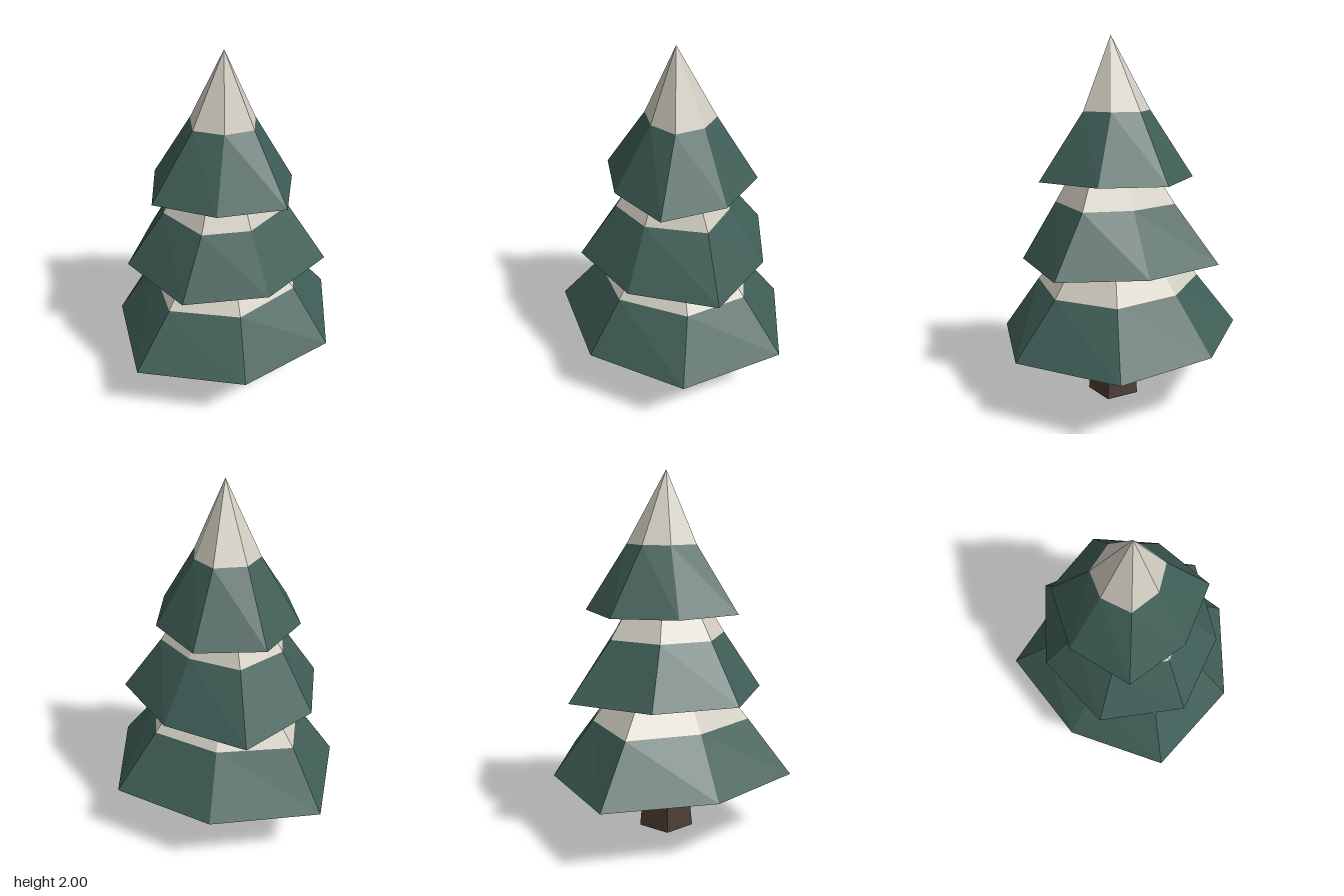
import * as THREE from 'three';

const material = (name, color) => {
  const m = new THREE.MeshStandardMaterial({ color });
  m.name = name;
  return m;
};

// Puts a flat outline of [x, z] corners at height y
const ring = (corners, y) => corners.map(([x, z]) => new THREE.Vector3(x, y, z));

// Shrinks an outline toward a centre
const shrink = (corners, s, cx, cz) =>
  corners.map(([x, z]) => [cx + (x - cx) * s, cz + (z - cz) * s]);

// Faceted band between two rings (or a ring and an apex), optionally closed below
function band(name, mat, lower, upper, capped) {
  const tris = [];
  const n = lower.length;
  const centre = lower.reduce((a, p) => a.add(p), new THREE.Vector3()).divideScalar(n);
  for (let i = 0; i < n; i++) {
    const j = (i + 1) % n;
    if (Array.isArray(upper)) {
      tris.push(lower[i], upper[i], upper[j], lower[i], upper[j], lower[j]);
    } else {
      tris.push(lower[i], upper, lower[j]);
    }
    if (capped) tris.push(lower[i], lower[j], centre);
  }
  // unshared corners give flat facets
  const geometry = new THREE.BufferGeometry().setFromPoints(tris);
  geometry.computeVertexNormals();
  const mesh = new THREE.Mesh(geometry, mat);
  mesh.name = name;
  return mesh;
}

// Irregular seven-sided tiers: hem outline, snow line outline, heights
const TIERS = [
  {
    name: 'lowerTier', y: [0.345, 0.645], apex: [0, 1.2, -0.03],
    hem: [[-0.15, -0.66], [0.43, -0.6], [0.67, -0.05], [0.4, 0.46], [-0.17, 0.655], [-0.565, 0.22], [-0.67, -0.37]],
    snow: [[-0.1, -0.44], [0.28, -0.4], [0.434, -0.08], [0.28, 0.29], [-0.09, 0.423], [-0.365, 0.14], [-0.465, -0.25]],
  },
  {
    name: 'middleTier', y: [0.8, 1.115], apex: [0.01, 1.65, -0.03],
    hem: [[-0.31, -0.55], [0.165, -0.515], [0.55, -0.235], [0.42, 0.235], [0.045, 0.505], [-0.405, 0.335], [-0.52, -0.115]],
    snow: [[-0.19, -0.33], [0.1, -0.32], [0.33, -0.185], [0.26, 0.14], [0.05, 0.296], [-0.24, 0.2], [-0.33, -0.07]],
  },
  {
    name: 'topTier', y: [1.25, 1.61], apex: [0.01, 2, -0.03],
    hem: [[0.005, -0.475], [0.305, -0.28], [0.425, 0.06], [0.14, 0.295], [-0.215, 0.345], [-0.395, 0.025], [-0.33, -0.325]],
    snow: [[-0.01, -0.245], [0.125, -0.17], [0.19, -0.02], [0.08, 0.1], [-0.085, 0.13], [-0.18, -0.01], [-0.16, -0.16]],
  },
];

const TRUNK = [[-0.06, -0.185], [0.125, -0.145], [0.11, 0.045], [-0.063, 0.115], [-0.17, -0.03]];

export function createModel() {
  const green = material('needleGreen', 0x3f5d56);
  const white = material('snow', 0xd0ccc0);
  const brown = material('bark', 0x4d3c35);

  const tree = new THREE.Group();
  tree.name = 'snowyTree';

  // Tapered five-sided trunk, running a little way into the branches
  const trunkTop = shrink(TRUNK, 0.73, -0.02, -0.04);
  tree.add(band('trunk', brown, ring(TRUNK, 0), ring(trunkTop, 0.45), true));

  // Green skirt with a snow cone on each tier
  for (const { name, y, apex, hem, snow } of TIERS) {
    const tier = new THREE.Group();
    tier.name = name;
    const snowLine = ring(snow, y[1]);
    tier.add(band('branches', green, ring(hem, y[0]), snowLine, true));
    tier.add(band('snowCap', white, snowLine, new THREE.Vector3(...apex), false));
    tree.add(tier);
  }
  return tree;
}
